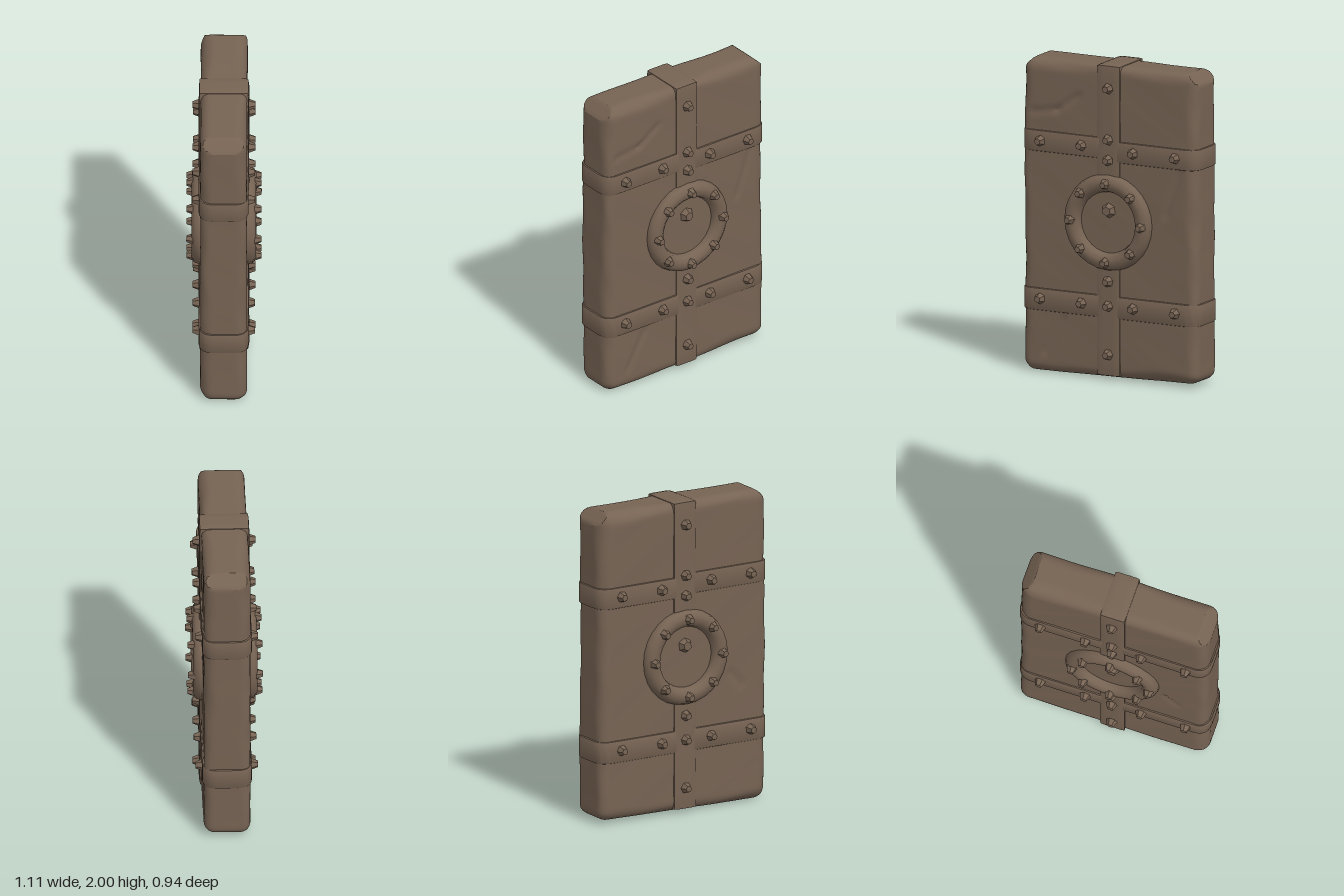
import * as THREE from 'three';
import { mergeVertices, toCreasedNormals } from 'three/addons/utils/BufferGeometryUtils.js';

const stone = new THREE.MeshStandardMaterial({ color: 0x766353 });
stone.name = 'brownStone';

// Gentle, repeatable unevenness in the range -1..1
const wobble = (x, y, z) =>
  (Math.sin(7 * x + 3.1 * y + 2) + Math.sin(5.3 * y - 9 * z + 4 * x) + Math.sin(17 * y + 11 * x + 6 * z)) / 3;

// Box with rounded, worn edges; rule(v) may move each vertex further
function wornBox(size, segs, radius, wear, rule) {
  let g = new THREE.BoxGeometry(...size, ...segs);
  g.deleteAttribute('uv');
  g.deleteAttribute('normal');
  g = mergeVertices(g);
  const half = new THREE.Vector3(...size).multiplyScalar(0.5);
  const pos = g.attributes.position;
  const p = new THREE.Vector3(), inner = new THREE.Vector3(), lim = new THREE.Vector3();
  for (let i = 0; i < pos.count; i++) {
    p.fromBufferAttribute(pos, i);
    const w = wobble(p.x, p.y, p.z);
    const r = radius * (1 + wear * w);
    lim.copy(half).subScalar(r);
    inner.copy(p).clamp(lim.clone().negate(), lim);
    p.sub(inner).setLength(r + wear * 0.006 * (w - 1)).add(inner);
    if (rule) rule(p);
    pos.setXYZ(i, p.x, p.y, p.z);
  }
  return toCreasedNormals(g, 0.5);
}

// Half of a cross band: flat at the strap, rounded where it wraps the slab's end
function bandHalf(length, depth, height, corner) {
  const b = 0.01, x = length - b, z = depth / 2 - b;
  const s = new THREE.Shape();
  s.moveTo(0, -z);
  s.lineTo(x - corner, -z);
  s.quadraticCurveTo(x, -z, x, -z + corner);
  s.lineTo(x, z - corner);
  s.quadraticCurveTo(x, z, x - corner, z);
  s.lineTo(0, z);
  const g = new THREE.ExtrudeGeometry(s, {
    depth: height - 2 * b, bevelEnabled: true, bevelSize: b, bevelThickness: b, bevelSegments: 2, curveSegments: 6,
  });
  g.translate(0, 0, b - height / 2);
  g.rotateX(-Math.PI / 2);
  return toCreasedNormals(g, 0.6);
}

// Cracks in the slab faces: side, x1, y1, x2, y2 (y from the ground)
const cracks = [
  [1, 0.5, 1.37, 0.4, 1.08], [1, -0.32, 0.36, -0.45, 0.13],
  [1, -0.54, 1.65, -0.36, 1.68], [1, -0.36, 1.68, -0.22, 1.78],
  [-1, -0.34, 0.85, -0.42, 0.76],
].map(([s, ...c]) => ({
  s, line: new THREE.Line3(new THREE.Vector3(c[0], c[1], 0), new THREE.Vector3(c[2], c[3], 0)),
}));

export function createModel() {
  const model = new THREE.Group();
  model.name = 'studdedStoneSlab';
  const slab = new THREE.Group();
  slab.name = 'slab';
  slab.rotation.y = 0.659;
  model.add(slab);

  const add = (name, geo, x, y, z) => {
    const m = new THREE.Mesh(geo, stone);
    m.name = name;
    m.position.set(x, y, z);
    slab.add(m);
    return m;
  };

  // Main block, slightly skewed at the foot, with clipped top corners and shallow cracks
  const q = new THREE.Vector3(), near = new THREE.Vector3();
  const midY = 1.0;
  add('stoneBlock', wornBox([1.234, 1.986, 0.294], [64, 100, 16], 0.068, 0.35, (p) => {
    if (p.y < -0.8) p.y += 0.01 * p.x / 0.6;
    const excess = Math.max(0, Math.abs(p.x) + p.y - 1.535) / 2;
    p.x -= Math.sign(p.x) * excess;
    p.y -= excess;
    for (const { s, line } of cracks) {
      if (p.z * s < 0.1) continue;
      q.set(p.x, p.y + midY, 0);
      line.closestPointToPoint(q, true, near);
      p.z -= s * 0.009 * Math.max(0, 1 - q.distanceTo(near) / 0.035);
    }
  }), 0, midY, 0);

  // Upright strap over the top and under the foot, broken by the rings
  add('upperStrap', wornBox([0.172, 0.8, 0.317], [6, 16, 8], 0.018, 0.3), 0, 1.6, 0);
  add('lowerStrap', wornBox([0.172, 0.78, 0.317], [6, 16, 8], 0.018, 0.3), 0, 0.41, 0);

  // Cross bands, each in two halves meeting at the strap
  for (const side of [-1, 1]) {
    const upper = add('upperBand', bandHalf(0.626, 0.31, 0.135, 0.085), 0, side < 0 ? 1.468 : 1.45, 0);
    const lower = add('lowerBand', bandHalf(0.626, 0.31, 0.142, 0.085), 0, 0.462, 0);
    if (side < 0) upper.rotation.y = lower.rotation.y = Math.PI;
  }

  // Faceted six-sided rivets standing out from the face
  const rivetGeo = toCreasedNormals(new THREE.CylinderGeometry(0.021, 0.037, 0.042, 6).rotateX(Math.PI / 2), 0.3);
  const rivet = (x, y, z, scale = 1) => {
    const m = add('rivet', rivetGeo, x, y, z);
    m.scale.set(scale, scale, 1);
    m.rotation.set(z < 0 ? Math.PI : 0, 0, x * 5 + y * 3);
  };

  for (const side of [-1, 1]) {
    // Ring with eight rivets and one larger stud inside
    add('ring', new THREE.TorusGeometry(0.25, 0.056, 10, 28), 0, 1.0, side * 0.147);
    for (let i = 0; i < 8; i++) {
      const a = i * Math.PI / 4;
      rivet(0.25 * Math.cos(a), 1.0 + 0.25 * Math.sin(a), side * 0.212, 0.95);
    }
    rivet(0, 1.075, side * 0.16, 1.4);

    // Band and strap rivets
    for (const x of [-0.48, -0.19, 0.175, 0.47]) {
      rivet(x, x < 0 ? 1.47 : 1.455, side * 0.173);
      rivet(x, 0.468, side * 0.173);
    }
    for (const y of [1.85, 1.525, 1.395, 0.625, 0.468, 0.16]) rivet(0, y, side * 0.175);
  }

  return model;
}
